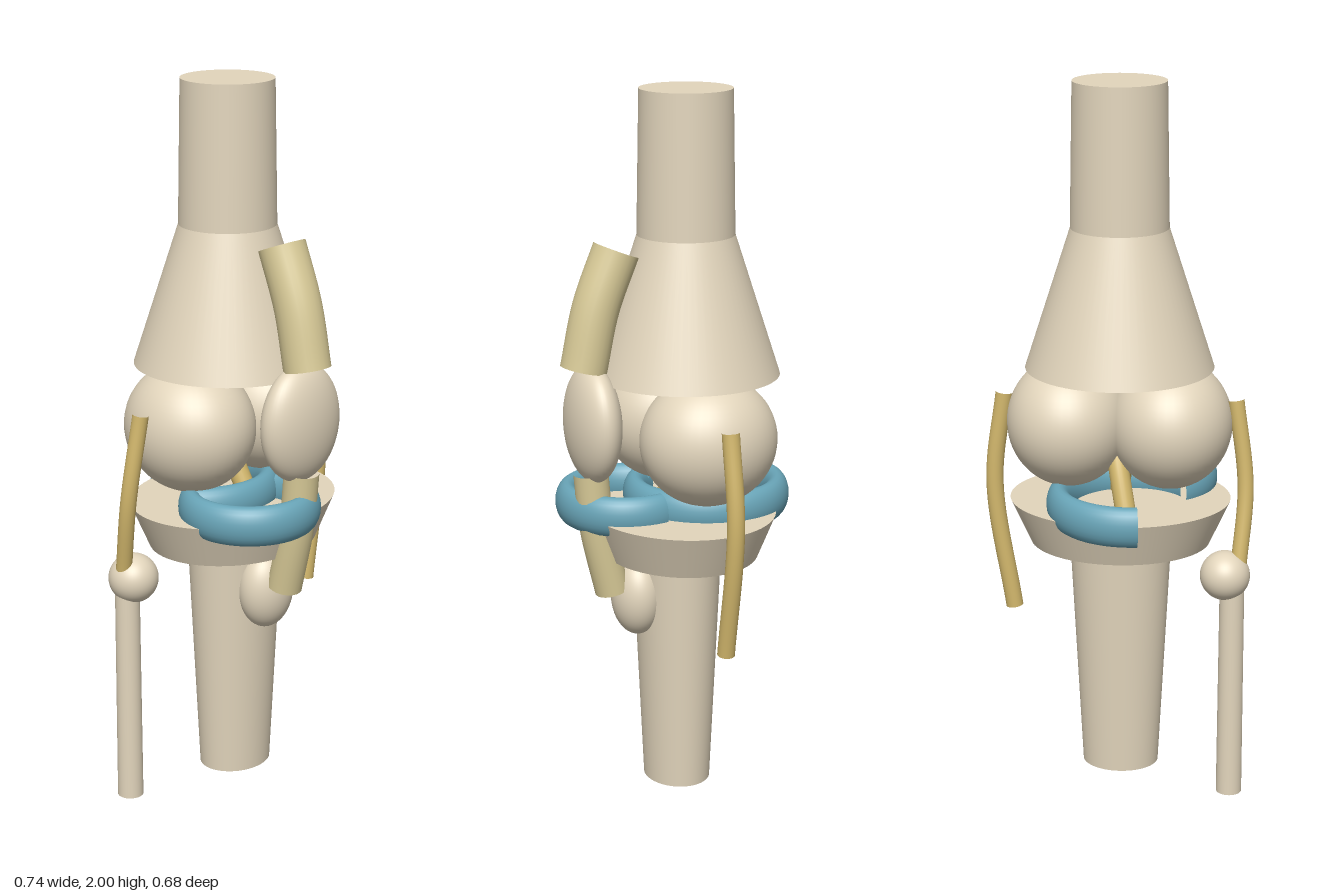
import * as THREE from 'three';

const material = (color) => new THREE.MeshStandardMaterial({ color });
const rad = THREE.MathUtils.degToRad;

export function createModel() {
  const model = new THREE.Group();
  model.name = 'kneeJoint';
  const bone = material(0xe2d5bc);
  const tendon = material(0xd9cb98);
  const ligament = material(0xd2b76c);
  const cartilage = material(0x69a5b8);

  const add = (name, geometry, mat, x = 0, y = 0, z = 0) => {
    const mesh = new THREE.Mesh(geometry, mat);
    mesh.name = name;
    mesh.position.set(x, y, z);
    model.add(mesh);
    return mesh;
  };
  // Tapered round shaft between two heights, optionally flattened in depth
  const shaft = (name, rTop, rBottom, y0, y1, x, z, depth = 1) =>
    add(name, new THREE.CylinderGeometry(rTop, rBottom, y1 - y0, 64).scale(1, 1, depth), bone, x, (y0 + y1) / 2, z);
  const ellipsoid = (name, [rx, ry, rz], x, y, z) =>
    add(name, new THREE.SphereGeometry(1, 48, 32).scale(rx, ry, rz), bone, x, y, z);
  // Open-ended cord through a few points
  const cord = (name, radius, mat, points) => {
    const curve = new THREE.CatmullRomCurve3(points.map((p) => new THREE.Vector3(...p)));
    return add(name, new THREE.TubeGeometry(curve, 32, radius, 24), mat);
  };
  // C-shaped pad, taller than wide; angles run from +x towards +z
  const meniscus = (name, radius, from, to, x, z) => {
    const g = new THREE.TorusGeometry(radius, 0.034, 24, 64, rad(to - from));
    g.rotateZ(rad(from)).scale(1, 1, 1.63).rotateX(Math.PI / 2);
    return add(name, g, cartilage, x, 0.862, z);
  };

  // Thigh bone
  shaft('femurShaft', 0.126, 0.133, 1.61, 2, 0, -0.02);
  shaft('femurFlare', 0.133, 0.257, 1.226, 1.61, 0, -0.02);
  for (const [name, side] of [['leftCondyle', 1], ['rightCondyle', -1]]) {
    ellipsoid(name, [0.17, 0.18, 0.19], side * 0.139, 1.07, -0.025);
  }

  // Shin bone
  shaft('tibialPlateau', 0.306, 0.25, 0.72, 0.845, 0, 0, 0.85);
  shaft('tibiaShaft', 0.143, 0.107, 0.04, 0.74, 0, 0.008, 0.85);
  ellipsoid('tibialTuberosity', [0.083, 0.113, 0.07], 0, 0.602, 0.13);

  // Outer calf bone
  ellipsoid('fibulaHead', [0.069, 0.069, 0.069], -0.297, 0.653, -0.087);
  shaft('fibulaShaft', 0.034, 0.036, 0, 0.62, -0.317, -0.091);

  // Kneecap and its tendons
  ellipsoid('patella', [0.135, 0.164, 0.068], 0, 1.113, 0.256);
  cord('quadricepsTendon', 0.064, tendon, [[0, 1.583, 0.183], [0, 1.43, 0.243], [0, 1.265, 0.28]]);
  cord('patellarTendon', 0.048, tendon, [[0, 0.975, 0.263], [0, 0.82, 0.247], [0, 0.627, 0.203]]);

  // Side ligaments
  cord('leftCollateralLigament', 0.024, ligament, [[0.32, 1.14, -0.005], [0.35, 0.88, -0.008], [0.3, 0.51, -0.005]]);
  cord('rightCollateralLigament', 0.022, ligament, [[-0.318, 1.14, -0.025], [-0.348, 0.9, -0.045], [-0.334, 0.68, -0.085]]);

  // Crossing ligaments inside the joint
  cord('frontCruciateLigament', 0.028, ligament, [[0.01, 0.82, 0.07], [-0.01, 0.97, 0], [-0.04, 1.12, -0.08]]);
  cord('backCruciateLigament', 0.028, ligament, [[-0.03, 0.82, -0.134], [0, 0.97, -0.08], [0.03, 1.12, 0]]);

  // Cartilage pads
  meniscus('frontMeniscus', 0.16, -15, 233, -0.068, 0.134);
  meniscus('backMeniscus', 0.199, -99, 140, -0.04, -0.1);

  return model;
}
